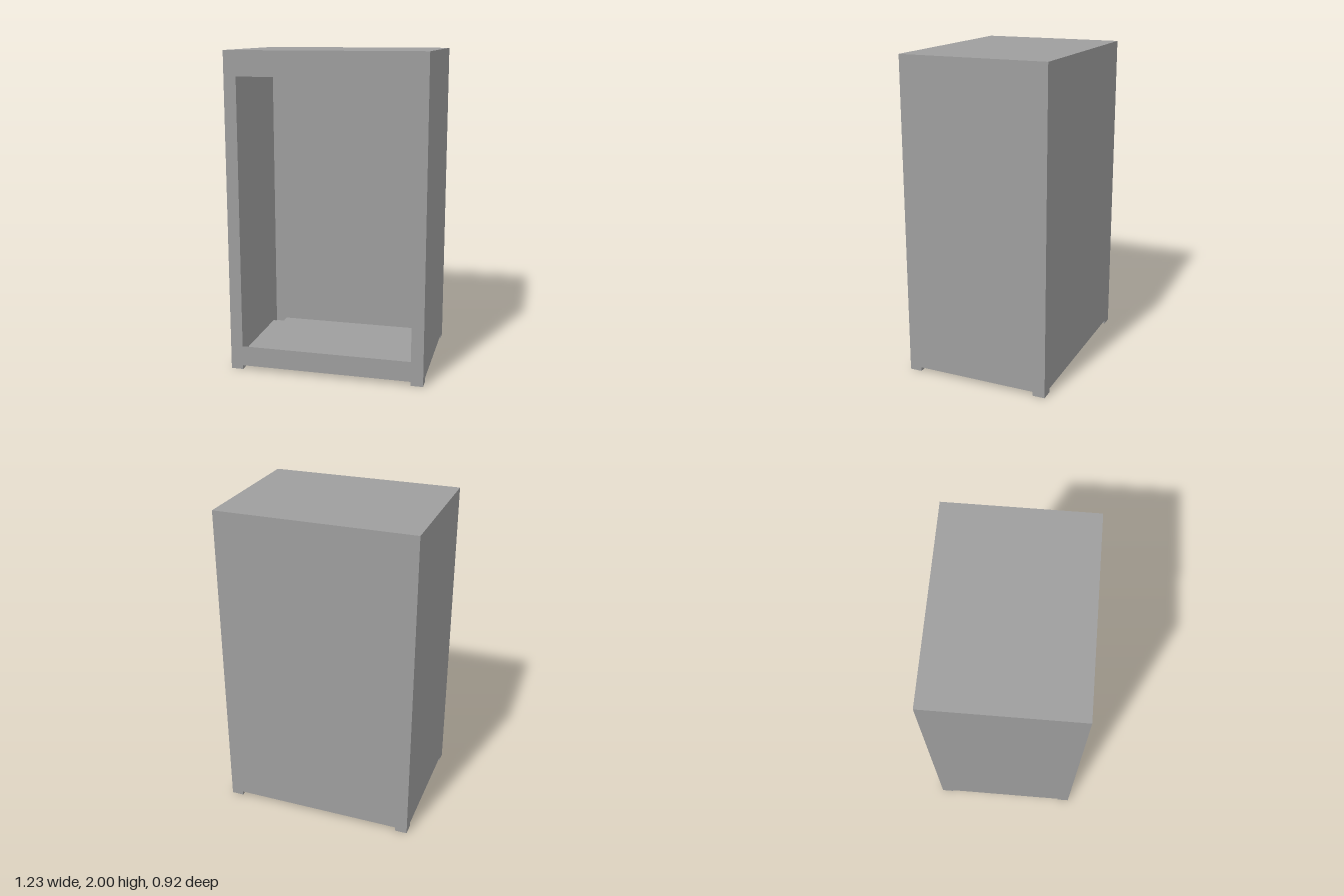
import * as THREE from 'three';

const U = 2 / 13;               // base module: the cabinet is 8 x 13 x 6 modules
const W = 4 * U, D = 3 * U;     // half width, half depth
const H = 13 * U;               // full height
const FOOT = U / 2, LIFT = U / 6; // foot size and height

const material = new THREE.MeshStandardMaterial({ color: 0x9e9e9e, side: THREE.DoubleSide });

const polygon = (points) => new THREE.Shape(points.map(([x, y]) => new THREE.Vector2(x, y)));

// Upright sheet of half width w, cut away between its two feet
const wallShape = (w) => polygon([
  [-w, 0], [-w + FOOT, 0], [-w + FOOT, LIFT], [w - FOOT, LIFT],
  [w - FOOT, 0], [w, 0], [w, H], [-w, H],
]);

function addSheet(parent, name, geometry, position, rotation = [0, 0, 0]) {
  const mesh = new THREE.Mesh(geometry, material);
  mesh.name = name;
  mesh.position.set(...position);
  mesh.rotation.set(...rotation);
  parent.add(mesh);
}

export function createModel() {
  const model = new THREE.Group();
  model.name = 'cabinet';
  const a = W - FOOT, b = D - FOOT; // inner edges of the feet

  // Front frame with the rectangular opening
  const front = wallShape(W);
  front.holes.push(polygon([[-a, U], [-a, H - U], [a, H - U], [a, U]]));
  addSheet(model, 'frontFrame', new THREE.ShapeGeometry(front), [0, 0, D]);

  // Back, sides and top
  const side = new THREE.ShapeGeometry(wallShape(D));
  addSheet(model, 'backPanel', new THREE.ShapeGeometry(wallShape(W)), [0, 0, -D], [0, Math.PI, 0]);
  addSheet(model, 'leftPanel', side, [W, 0, 0], [0, Math.PI / 2, 0]);
  addSheet(model, 'rightPanel', side, [-W, 0, 0], [0, -Math.PI / 2, 0]);
  addSheet(model, 'topPanel', new THREE.PlaneGeometry(2 * W, 2 * D), [0, H, 0], [-Math.PI / 2, 0, 0]);

  // Floor, notched at the corners where the hollow feet open into it
  const floor = polygon([
    [-a, -D], [a, -D], [a, -b], [W, -b], [W, b], [a, b],
    [a, D], [-a, D], [-a, b], [-W, b], [-W, -b], [-a, -b],
  ]);
  addSheet(model, 'floorPanel', new THREE.ShapeGeometry(floor), [0, LIFT, 0], [Math.PI / 2, 0, 0]);

  // Hollow feet: a sole and two inner sides; the outer sides belong to the walls
  const sole = new THREE.PlaneGeometry(FOOT, FOOT);
  const inner = new THREE.PlaneGeometry(FOOT, LIFT);
  for (const sx of [-1, 1]) {
    for (const sz of [-1, 1]) {
      const foot = new THREE.Group();
      foot.name = (sz > 0 ? 'front' : 'back') + (sx > 0 ? 'Left' : 'Right') + 'Foot';
      const cx = sx * (W - FOOT / 2), cz = sz * (D - FOOT / 2);
      addSheet(foot, 'footSole', sole, [cx, 0, cz], [Math.PI / 2, 0, 0]);
      addSheet(foot, 'footInnerSide', inner, [sx * a, LIFT / 2, cz], [0, -sx * Math.PI / 2, 0]);
      addSheet(foot, 'footInnerEnd', inner, [cx, LIFT / 2, sz * b], [0, sz > 0 ? Math.PI : 0, 0]);
      model.add(foot);
    }
  }
  return model;
}
